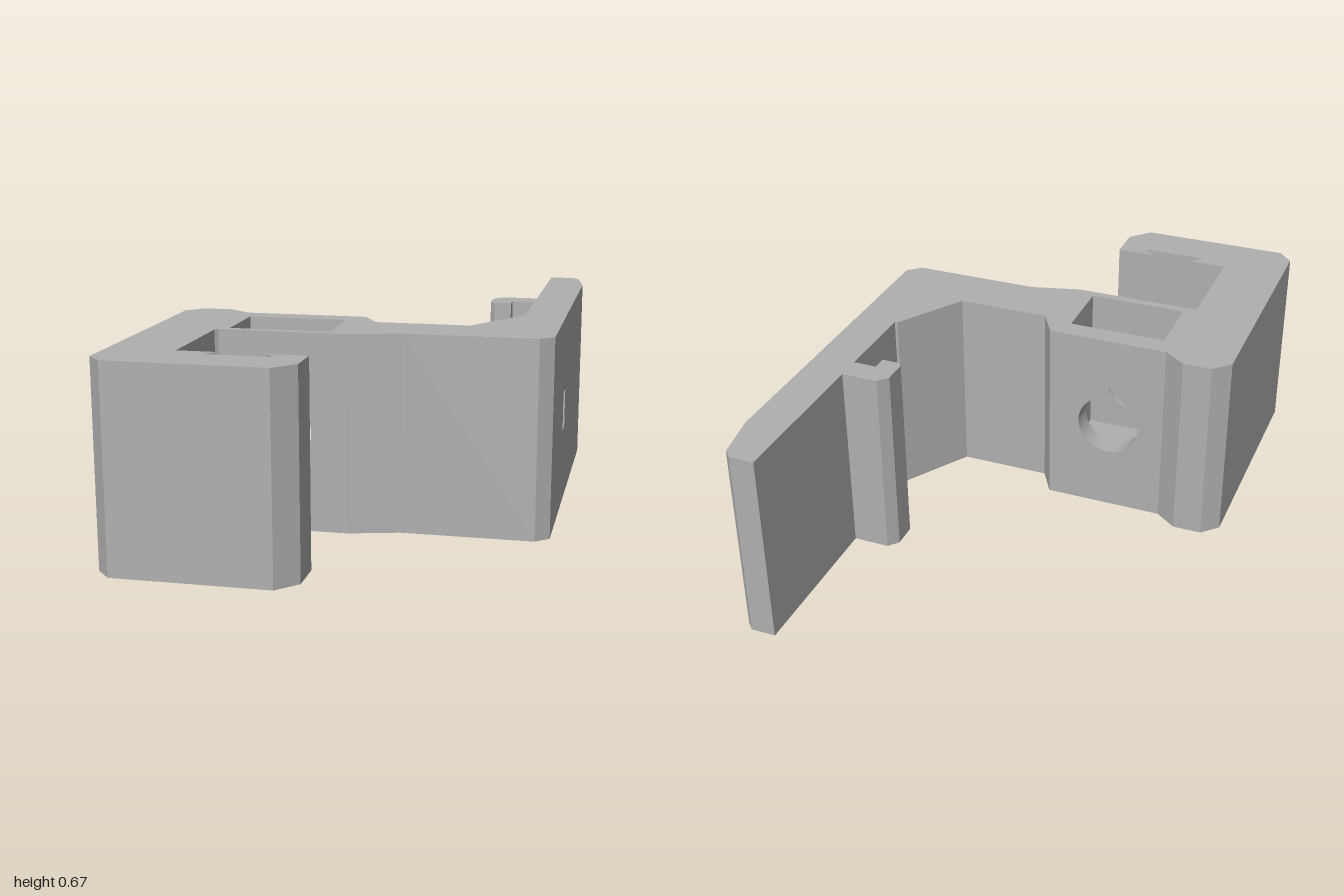
import * as THREE from 'three';

const H = 0.67;

const polygon = (pts) => new THREE.Shape(pts.map(([a, b]) => new THREE.Vector2(a, b)));
const rect = (a0, a1, b0, b1) => polygon([[a0, b0], [a1, b0], [a1, b1], [a0, b1]]);
const extrude = (shape, depth) =>
  new THREE.ExtrudeGeometry(shape, { depth, bevelEnabled: false, curveSegments: 32 });

// Upright prism from a plan outline of [x, z] points
function prism(pts, height = H) {
  return extrude(polygon(pts.map(([x, z]) => [x, -z])), height).rotateX(-Math.PI / 2);
}

// Round hole with a pointed roof
function teardrop(cx, cy, r) {
  const hole = new THREE.Path();
  const k = r * Math.SQRT1_2;
  hole.moveTo(cx, cy + r * Math.SQRT2);
  hole.lineTo(cx - k, cy + k);
  hole.absarc(cx, cy, r, Math.PI * 0.75, Math.PI * 2.25, false);
  hole.closePath();
  return hole;
}

export function createModel() {
  const group = new THREE.Group();
  const grey = new THREE.MeshStandardMaterial({ color: 0xb0b0b0 });
  const add = (name, geometry) => {
    const mesh = new THREE.Mesh(geometry, grey);
    mesh.name = name;
    group.add(mesh);
  };

  // C-shaped jaw with a dovetail groove in its lip
  add('jaw', prism([
    [-0.66, 0.095], [-0.605, 0.04], [-0.505, 0.04], [-0.43, 0.095], [-0.40, 0.095],
    [-0.40, 0.43], [-0.43, 0.43], [-0.44, 0.44], [-0.44, 0.81], [-0.42, 0.805],
    [-0.31, 0.805], [-0.345, 0.845], [-0.12, 0.845], [-0.16, 0.805], [-0.025, 0.805],
    [-0.025, 0.93], [-0.09, 1], [-0.61, 1], [-0.66, 0.945],
  ]));

  // Bridge and corner leading to the plate
  add('bridge', prism([
    [-0.06, 0.095], [-0.01, 0.095], [0.045, 0.19], [0.365, 0.19], [0.51, -0.043],
    [0.52, -0.043], [0.52, 0], [0.66, 0], [0.66, 0.345], [0.615, 0.385],
    [0.17, 0.385], [0, 0.43], [-0.06, 0.43],
  ]));

  // Pocket walls pierced by a teardrop bolt hole, and the pocket floor
  for (const [name, z0, z1] of [['pocketBackWall', 0.095, 0.17], ['pocketFrontWall', 0.40, 0.43]]) {
    const wall = rect(-0.40, -0.06, 0, H);
    wall.holes.push(teardrop(-0.23, 0.333, 0.11));
    add(name, extrude(wall, z1 - z0).translate(0, 0, z0));
  }
  add('pocketFloor', prism([[-0.40, 0.17], [-0.06, 0.17], [-0.06, 0.40], [-0.40, 0.40]], 0.14));

  // Plate section with a small pointed window
  const panel = rect(0, 0.30, 0, H);
  panel.holes.push(polygon([[0.043, 0.27], [0.043, 0.4], [0.078, 0.432], [0.112, 0.4], [0.112, 0.27]]));
  add('windowPanel', extrude(panel, 0.14).rotateY(Math.PI / 2).translate(0.52, 0, 0));

  // Plate end with its hook
  add('plateEnd', prism([
    [0.66, -0.30], [0.52, -0.30], [0.52, -0.35], [0.44, -0.35], [0.44, -0.30], [0.38, -0.30],
    [0.365, -0.315], [0.365, -0.40], [0.395, -0.435], [0.52, -0.435], [0.52, -1],
    [0.605, -1], [0.63, -0.975], [0.66, -0.81],
  ]));

  return group;
}
